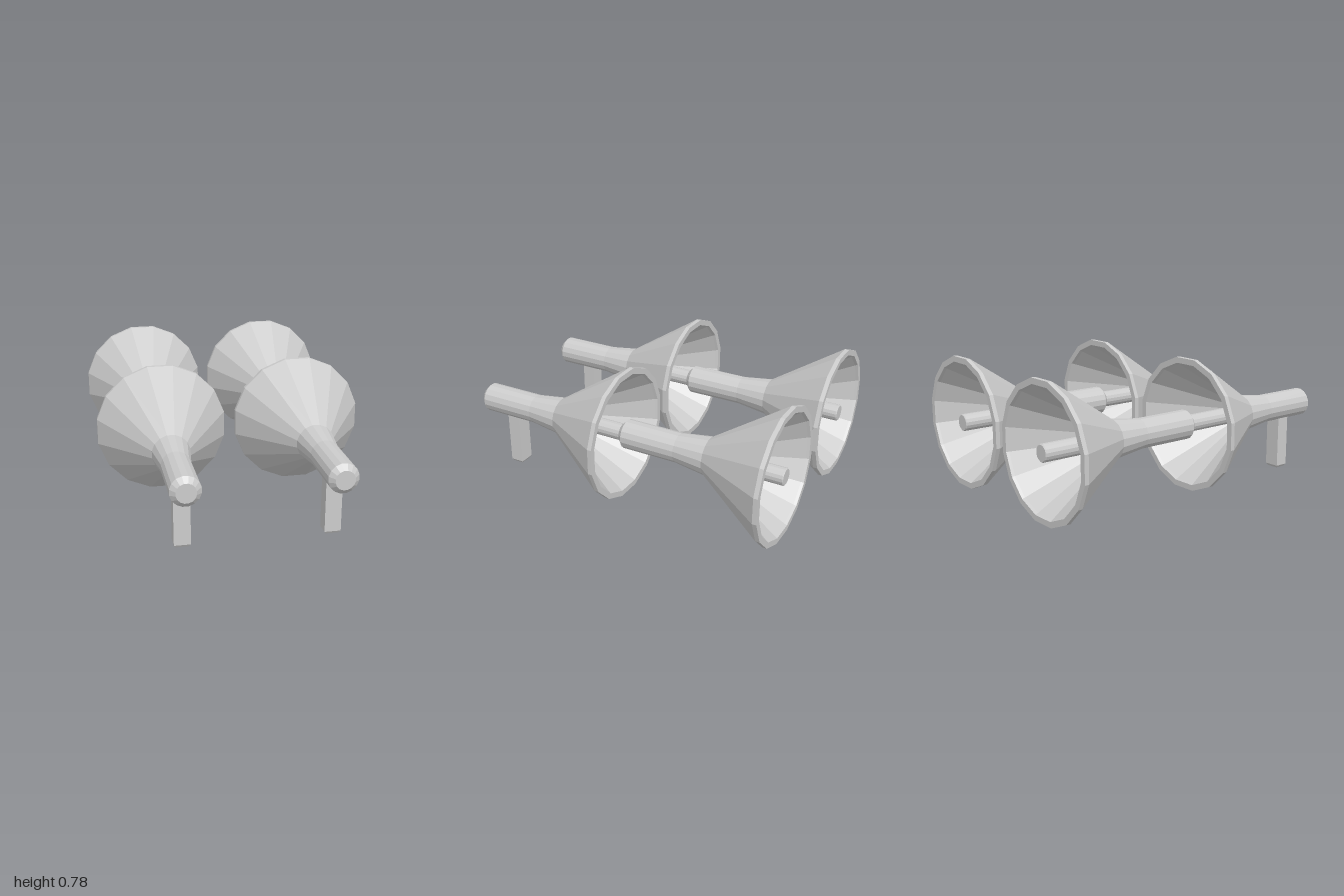
import * as THREE from 'three';

const SIDES = 16;
const AXIS_Y = 0.398;   // height of the horn axis
const AXIS_X = 0.422;   // half distance between the two rows
const STEP = 0.985;     // distance from a front horn to the one behind it

const material = new THREE.MeshStandardMaterial({ color: 0xcccccc, flatShading: true });

// Lathe turned to lie along z; profile points are [radius, z], from front to back
function turned(name, profile) {
  const points = profile.map(([r, z]) => new THREE.Vector2(r, -z));
  const geometry = new THREE.LatheGeometry(points, SIDES, Math.PI / SIDES);
  geometry.rotateX(-Math.PI / 2);
  const mesh = new THREE.Mesh(geometry, material);
  mesh.name = name;
  return mesh;
}

// One horn: pipe, flared bell with a hollow inside, and a central rod
function createHorn() {
  const horn = new THREE.Group();
  horn.name = 'horn';
  horn.add(turned('pipeAndBell', [
    [0, 1], [0.056, 1], [0.0867, 0.97],   // chamfered mouthpiece
    [0.0867, 0.63], [0.112, 0.44],        // pipe and neck
    [0.394, 0.01], [0.394, -0.015],       // bell and rim
    [0.36, -0.015], [0.352, 0.0],         // rim lip
    [0.08, 0.42], [0, 0.42],              // hollow of the bell
  ]));
  horn.add(turned('innerRod', [
    [0.05, 0.45], [0.05, -0.01], [0.045, -0.015], [0, -0.015],
  ]));
  return horn;
}

// Square post with a chamfered foot
function createLeg() {
  const profile = [[0, 0], [0.036, 0], [0.047, 0.015], [0.047, 0.345], [0, 0.345]];
  const points = profile.map(([r, y]) => new THREE.Vector2(r * Math.SQRT2, y));
  const geometry = new THREE.LatheGeometry(points, 4, Math.PI / 4);
  geometry.scale(1, 1, 0.87);
  const leg = new THREE.Mesh(geometry, material);
  leg.name = 'leg';
  return leg;
}

export function createModel() {
  const model = new THREE.Group();
  model.name = 'hornSet';
  for (const side of [-1, 1]) {
    for (const row of [0, 1]) {
      const horn = createHorn();
      horn.position.set(side * AXIS_X, AXIS_Y, -row * STEP);
      model.add(horn);
    }
    // only the front horns stand on a leg
    const leg = createLeg();
    leg.position.set(side * AXIS_X, 0, 0.78);
    model.add(leg);
  }
  return model;
}
